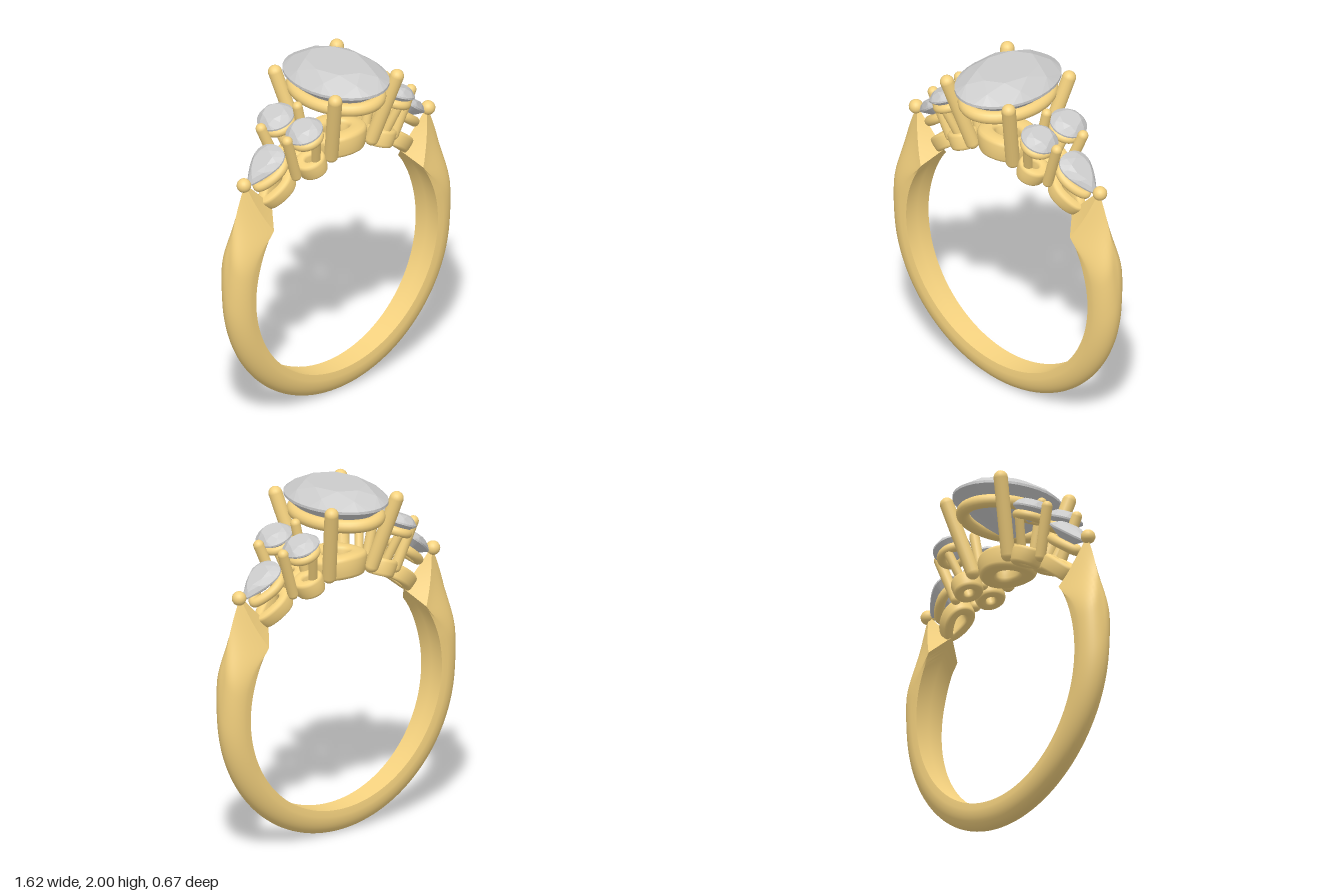
import * as THREE from 'three';
import { mergeVertices, toCreasedNormals } from 'three/addons/utils/BufferGeometryUtils.js';
import { ConvexGeometry } from 'three/addons/geometries/ConvexGeometry.js';

const CENTER_Y = 0.81, INNER_R = 0.67, RAD = Math.PI / 180;
const gold = new THREE.MeshStandardMaterial({ color: 0xf5d27f });
const stone = new THREE.MeshStandardMaterial({ color: 0xcccccc, flatShading: true });

function mesh(name, geometry, material = gold) {
  const m = new THREE.Mesh(geometry, material);
  m.name = name;
  return m;
}

// Oval outline; taper narrows it toward +x (or -x when negative) into a pear.
const outline = (a, b, taper = 0) => (t) => [
  a * Math.cos(t),
  b * Math.sin(t) * (1 - taper * Math.cos(t)) / (1 + 0.2 * Math.abs(taper)),
];

// Tube around an outline, lying in the xz plane; power < 1 squares its section.
function loopTube(shape, width, height, power = 1) {
  const geo = new THREE.TorusGeometry(1, 0.25, 16, 48);
  const p = geo.attributes.position;
  const sq = (v) => Math.sign(v) * Math.min(1, Math.abs(v)) ** power;
  for (let i = 0; i < p.count; i++) {
    const x = p.getX(i), y = p.getY(i), t = Math.atan2(y, x);
    const d = sq((Math.hypot(x, y) - 1) / 0.25) * width;
    const [ox, oz] = shape(t);
    p.setXYZ(i, ox + d * Math.cos(t), sq(p.getZ(i) / 0.25) * height, -(oz + d * Math.sin(t)));
  }
  geo.deleteAttribute('uv');
  geo.deleteAttribute('normal');
  const merged = mergeVertices(geo, 1e-5);
  merged.computeVertexNormals();
  return merged;
}

// Wraps a flat loop around the finger opening at an angle from the top.
function bend(geo, angle, z, r) {
  const p = geo.attributes.position;
  for (let i = 0; i < p.count; i++) {
    const a = angle + p.getX(i) / r, rr = r + p.getY(i);
    p.setXYZ(i, rr * Math.sin(a), CENTER_Y + rr * Math.cos(a), p.getZ(i) + z);
  }
  geo.computeVertexNormals();
  return geo;
}

// Brilliant cut: table, crown facets, thin girdle, pavilion and culet.
function gemGeometry(shape, crown, girdle, pavilion) {
  const pts = [];
  const ring = (n, scale, y, offset = 0) => {
    for (let i = 0; i < n; i++) {
      const [x, z] = shape((i + offset) / n * Math.PI * 2);
      pts.push(new THREE.Vector3(x * scale, y, z * scale));
    }
  };
  ring(8, 0.58, crown);
  ring(8, 0.82, crown * 0.58, 0.5);
  ring(32, 1, 0);
  ring(32, 1, -girdle);
  ring(8, 0.45, -girdle - pavilion * 0.58, 0.5);
  pts.push(new THREE.Vector3(0, -girdle - pavilion, 0));
  return new ConvexGeometry(pts);
}

// Round-ended wire between two points.
function prong(name, from, to, radius) {
  const a = new THREE.Vector3(...from), b = new THREE.Vector3(...to);
  const dir = b.clone().sub(a);
  const m = mesh(name, new THREE.CapsuleGeometry(radius, dir.length(), 8, 16));
  m.position.copy(a).add(b).multiplyScalar(0.5);
  m.quaternion.setFromUnitVectors(new THREE.Vector3(0, 1, 0), dir.normalize());
  return m;
}

// Band with domed outside, rising to ridged, pointed shoulders.
function shankGeometry() {
  const N = 120, M = 20, pos = [], idx = [];
  for (let i = 0; i <= N; i++) {
    const t = i / N * 2 - 1;
    const a = Math.abs(t) * 135;
    const q = Math.max(0, (a - 90) / 45);
    const k = THREE.MathUtils.smoothstep(q, 0.4, 1);
    const outer = 0.81 + 0.14 * q * q;
    const w = 0.068 + 0.034 * Math.min(1, (1 - Math.cos(a * RAD)) / 1.4);
    const add = (zn, h) => {
      const ang = t * (135 - 10.4 * Math.abs(zn)) * RAD;
      const r = INNER_R + (outer - INNER_R) * h;
      pos.push(r * Math.sin(ang), CENTER_Y - r * Math.cos(ang), zn * w);
    };
    add(0.94, 0);
    for (let j = 0; j <= M; j++) {
      const b = j / M * Math.PI, z = Math.cos(b);
      add(z, THREE.MathUtils.lerp(0.25 + 0.75 * Math.sin(b), 1 - Math.abs(z), k));
    }
    add(-0.94, 0);
    add(0, 0);
  }
  const L = M + 4;
  for (let i = 0; i < N; i++) for (let j = 0; j < L; j++) {
    const a = i * L + j, b = i * L + (j + 1) % L;
    idx.push(a, b, a + L, b, b + L, a + L);
  }
  // ridged end faces
  for (let j = 0; j < L - 2; j++) {
    const e = N * L;
    idx.push(e + L - 1, e + j, e + j + 1, L - 1, j + 1, j);
  }
  const geo = new THREE.BufferGeometry();
  geo.setAttribute('position', new THREE.Float32BufferAttribute(pos, 3));
  geo.setIndex(idx);
  return toCreasedNormals(geo, 0.6);
}

// Stone with its gallery rail below, tilted outward on one side.
function setting(name, shape, railShape, size, position, tilt) {
  const g = new THREE.Group();
  g.name = name;
  const rail = mesh(name + 'Rail', loopTube(railShape, size.tube, size.tube));
  rail.position.y = -size.drop;
  g.add(mesh(name + 'Stone', gemGeometry(shape, size.crown, size.girdle, size.pavilion), stone), rail);
  g.position.set(...position);
  g.rotation.z = -tilt;
  return g;
}

export function createModel() {
  const model = new THREE.Group();
  model.name = 'ring';
  model.add(mesh('shank', shankGeometry()));

  // large oval centre stone and its base
  model.add(setting('centre', outline(0.25, 0.335), outline(0.2, 0.275),
    { crown: 0.075, girdle: 0.015, pavilion: 0.215, tube: 0.037, drop: 0.1 }, [0, 1.925, 0], 0));
  model.add(mesh('centreBase', bend(loopTube(outline(0.125, 0.105), 0.05, 0.065, 0.5), 0, 0, 0.735)));

  const roundSize = { crown: 0.04, girdle: 0.01, pavilion: 0.075, tube: 0.026, drop: 0.055 };
  const pearSize = { crown: 0.035, girdle: 0.01, pavilion: 0.07, tube: 0.028, drop: 0.075 };
  for (const s of [-1, 1]) {
    // pear stone pointing outward, with its base
    model.add(setting('pear', outline(0.135, 0.1, 0.55 * s), outline(0.1, 0.065, 0.4 * s),
      pearSize, [0.54 * s, 1.55, 0], 38 * RAD * s));
    model.add(mesh('pearBase',
      bend(loopTube(outline(0.09, 0.055, 0.3 * s), 0.03, 0.045, 0.5), 38 * RAD * s, 0, 0.715)));

    // shoulder tip and shared inner prong
    const tip = mesh('shoulderTip', new THREE.SphereGeometry(0.04, 20, 14));
    tip.position.set(0.68 * s, 1.475, 0);
    model.add(tip);
    model.add(prong('innerProng', [0.21 * s, 1.5, 0], [0.285 * s, 1.82, 0], 0.028));

    for (const f of [-1, 1]) {
      // round side stones with bases and prongs
      model.add(setting('round', outline(0.105, 0.105), outline(0.07, 0.07),
        roundSize, [0.342 * s, 1.735, 0.115 * f], 22 * RAD * s));
      model.add(mesh('roundBase',
        bend(loopTube(outline(0.055, 0.055), 0.03, 0.05, 0.5), 20.5 * RAD * s, 0.078 * f, 0.72)));
      model.add(prong('centreProng', [0.15 * s, 1.52, 0.125 * f], [0.228 * s, 1.92, 0.242 * f], 0.039));
      model.add(prong('outerProng', [0.36 * s, 1.45, 0.07 * f], [0.457 * s, 1.705, 0.105 * f], 0.03));
      model.add(prong('roundStrut', [0.25 * s, 1.5, 0.11 * f], [0.3 * s, 1.67, 0.17 * f], 0.025));
    }
  }
  return model;
}
